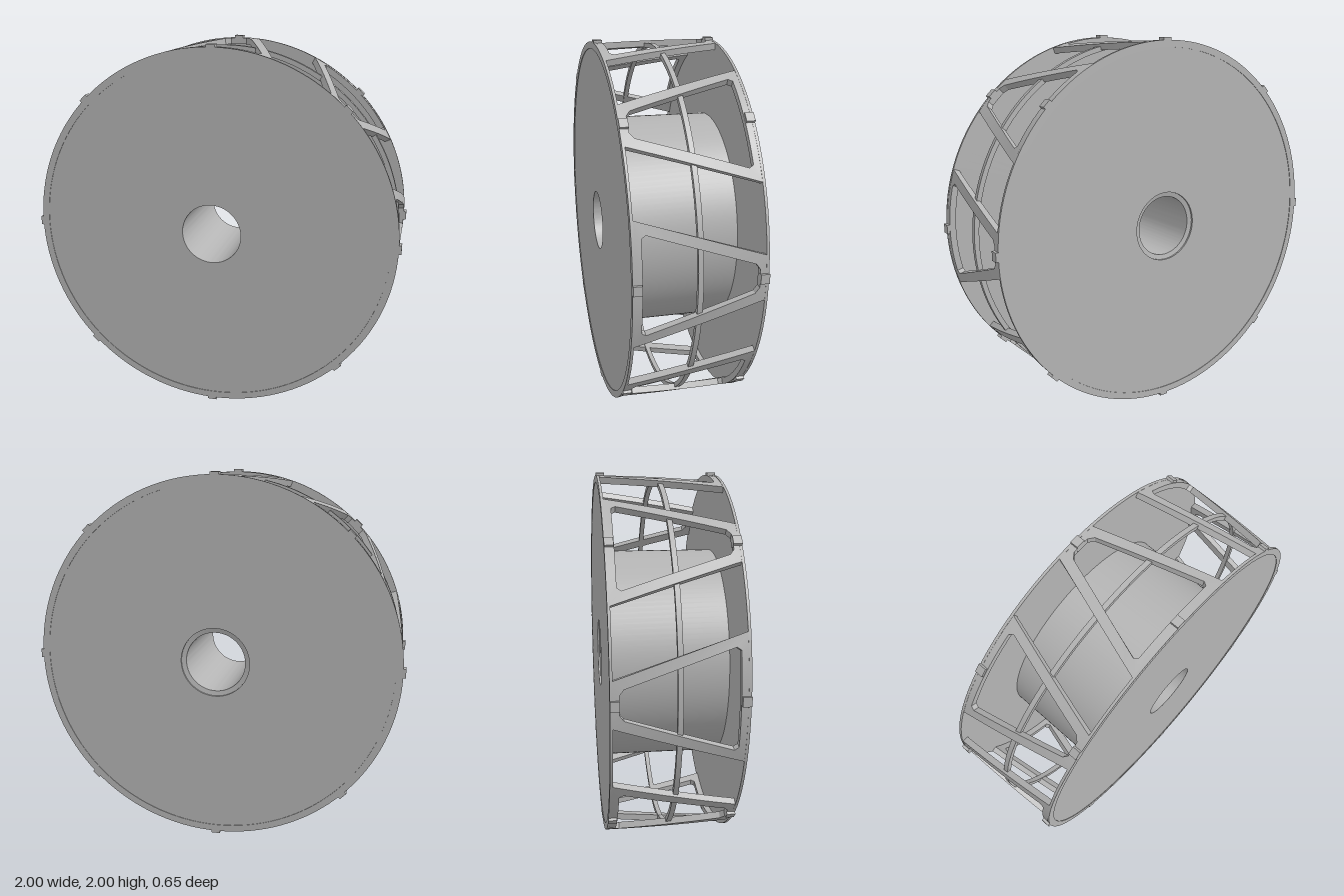
import * as THREE from 'three';
import { toCreasedNormals } from 'three/addons/utils/BufferGeometryUtils.js';

const HALF = 0.325; // half width of the spool

// Closed solid of revolution about z; profile is [radius, z], outer side running towards +z
function turned(profile, segments = 128) {
  const pts = [...profile, profile[0]].map(([r, z]) => new THREE.Vector2(r, z));
  const geo = new THREE.LatheGeometry(pts, segments);
  geo.rotateX(Math.PI / 2);
  return toCreasedNormals(geo, 0.5);
}

const ringProfile = (r0, r1, z0, z1) => [[r0, z0], [r1, z0], [r1, z1], [r0, z1]];

// Cut each corner of a polygon by a distance c
function cutCorners(corners, c) {
  const out = [];
  corners.forEach((p, i) => {
    for (const j of [(i + 3) % 4, (i + 1) % 4]) {
      const d = corners[j].clone().sub(p).normalize().multiplyScalar(c);
      out.push(p.clone().add(d));
    }
  });
  return out;
}

// Trapezoid (wide at +z) as [angle, z] points, counter-clockwise, subdivided to follow the cylinder
function trapezoid(wide, narrow, zWide, zNarrow, cut) {
  const corners = [[-narrow, zNarrow], [-wide, zWide], [wide, zWide], [narrow, zNarrow]]
    .map(([a, z]) => new THREE.Vector2(a, z));
  const poly = cutCorners(corners, cut);
  const pts = [];
  poly.forEach((p, i) => {
    const q = poly[(i + 1) % poly.length];
    const n = i % 2 ? 10 : 1;
    for (let k = 0; k < n; k++) pts.push(p.clone().lerp(q, k / n));
  });
  return pts;
}

// Curved frame: a rectangular section swept between the outer and inner trapezoids
function frameGeometry(rIn, rOut) {
  const outer = trapezoid(0.33, 0.112, HALF - 0.002, -HALF + 0.002, 0.008);
  const inner = trapezoid(0.262, 0.068, 0.278, -0.282, 0.022);
  const pos = [];
  const index = [];
  const put = (p, r) => pos.push(r * Math.sin(p.x), r * Math.cos(p.x), p.y);
  const n = outer.length;
  for (let i = 0; i < n; i++) {
    put(outer[i], rOut);
    put(inner[i], rOut);
    put(inner[i], rIn);
    put(outer[i], rIn);
    const a = i * 4;
    const b = ((i + 1) % n) * 4;
    for (let k = 0; k < 4; k++) {
      const m = (k + 1) % 4;
      index.push(a + k, b + k, b + m, a + k, b + m, a + m);
    }
  }
  const geo = new THREE.BufferGeometry();
  geo.setAttribute('position', new THREE.Float32BufferAttribute(pos, 3));
  geo.setIndex(index);
  return toCreasedNormals(geo, 0.4);
}

export function createModel() {
  const model = new THREE.Group();
  model.name = 'spool';
  const grey = new THREE.MeshStandardMaterial({ color: 0xb4b4b4 });
  grey.name = 'grey plastic';

  const body = new THREE.Group();
  body.name = 'spoolBody';
  body.position.y = 1;
  model.add(body);

  const add = (name, geo, parent = body) => {
    const mesh = new THREE.Mesh(geo, grey);
    mesh.name = name;
    parent.add(mesh);
    return mesh;
  };

  // Hub with a through bore, slightly countersunk at the back
  add('hub', turned([
    [0.19, -HALF + 0.003], [0.575, -HALF + 0.003], [0.575, HALF - 0.003],
    [0.162, HALF - 0.003], [0.162, -HALF + 0.018], [0.19, -HALF + 0.012],
  ]));

  // Thin side discs and their rims
  for (const [side, s] of [['front', 1], ['back', -1]]) {
    const a = s * (HALF - 0.014);
    const b = s * (HALF - 0.003);
    add(side + 'Disc', turned(ringProfile(s > 0 ? 0.57 : 0.188, 0.952, Math.min(a, b), Math.max(a, b))));
    const c = s * HALF;
    add(side + 'Rim', turned(ringProfile(0.95, 0.987, Math.min(a, c), Math.max(a, c))));
  }

  // Thin hoop round the middle
  add('middleHoop', turned(ringProfile(0.946, 0.972, -0.013, 0.013)));

  // Eight frames, alternately wide at the front and wide at the back, with locating nubs
  const frameGeo = frameGeometry(0.952, 0.986);
  const nubGeo = new THREE.BoxGeometry(0.048, 0.046, 0.044);
  for (let i = 0; i < 8; i++) {
    const bay = new THREE.Group();
    bay.name = 'bay' + (i + 1);
    bay.rotation.z = i * Math.PI / 4;
    body.add(bay);
    const frame = add('trapezoidFrame', frameGeo, bay);
    if (i % 2) frame.rotation.y = Math.PI;
    for (const s of [1, -1]) {
      add(s > 0 ? 'frontNub' : 'backNub', nubGeo, bay).position.set(0, 0.977, s * (HALF - 0.022));
    }
  }
  return model;
}
